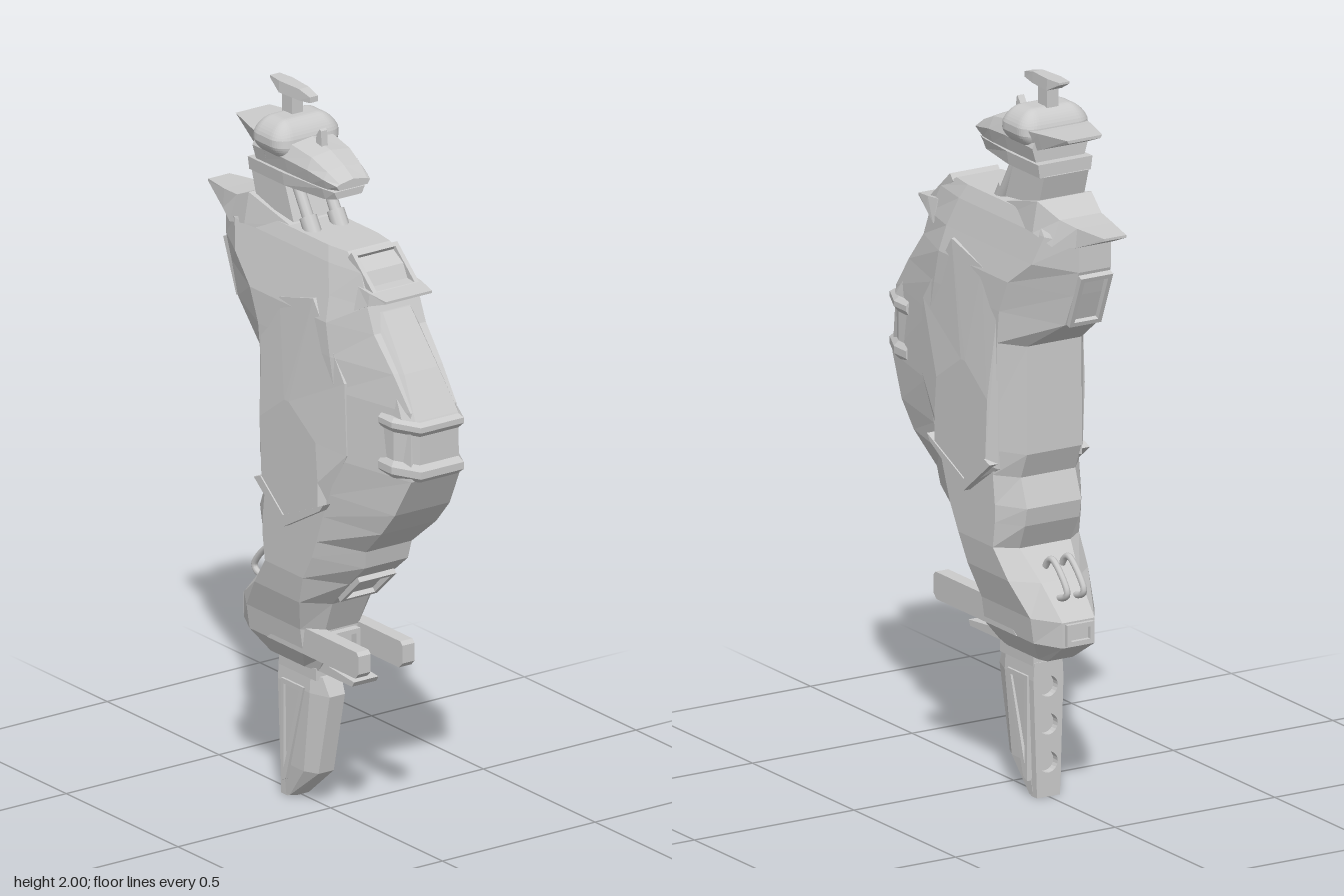
import * as THREE from 'three';
import { RoundedBoxGeometry } from 'three/addons/geometries/RoundedBoxGeometry.js';

const flat = new THREE.MeshStandardMaterial({ color: 0xcccccc, flatShading: true, side: THREE.DoubleSide });
const smooth = new THREE.MeshStandardMaterial({ color: 0xcccccc });

// Closed skin over a stack of equal-length rings, always wound outwards.
function loft(rings) {
  const n = rings[0].length, pos = rings.flat(2), tris = [];
  for (let r = 0; r < rings.length - 1; r++) {
    for (let i = 0; i < n; i++) {
      const a = r * n + i, b = r * n + (i + 1) % n;
      tris.push([a, b, b + n], [a, b + n, a + n]);
    }
  }
  [0, rings.length - 1].forEach((r, end) => {
    const c = pos.length / 3;
    for (let k = 0; k < 3; k++) pos.push(rings[r].reduce((s, p) => s + p[k], 0) / n);
    for (let i = 0; i < n; i++) {
      const a = r * n + i, b = r * n + (i + 1) % n;
      tris.push(end ? [a, b, c] : [b, a, c]);
    }
  });
  const v = (i) => new THREE.Vector3().fromArray(pos, i * 3);
  const volume = tris.reduce((s, [a, b, c]) => s + v(a).dot(v(b).cross(v(c))), 0);
  if (volume < 0) tris.forEach((t) => t.reverse());
  const g = new THREE.BufferGeometry();
  g.setAttribute('position', new THREE.Float32BufferAttribute(pos, 3));
  g.setIndex(tris.flat());
  g.computeVertexNormals();
  return g;
}

// Horizontal eight-sided section: front/back z, front/side/back half widths, z where the sides begin and end.
const section = ([y, zf, zb, fw, w, bw, sf, sb]) => [
  [fw, y, zf], [w, y, sf], [w, y, sb], [bw, y, zb], [-bw, y, zb], [-w, y, sb], [-w, y, sf], [-fw, y, zf]];
// Upright four-sided section: z, bottom and top y, bottom and top half widths.
const slice = ([z, y0, y1, w0, w1]) => [[w0, y0, z], [w1, y1, z], [-w1, y1, z], [-w0, y0, z]];

const toShape = (pts) => new THREE.Shape(pts.map((p) => new THREE.Vector2(...p)));

// Side profile in (z, y), extruded across x around a centre.
function prism(profile, width, x = 0, hole = null) {
  const s = toShape(profile);
  if (hole) s.holes.push(toShape(hole));
  const g = new THREE.ExtrudeGeometry(s, { depth: width, bevelEnabled: false });
  return g.translate(0, 0, -width / 2).rotateY(-Math.PI / 2).translate(x, 0, 0);
}

// Raised rectangular rim that leaves a sunken panel inside.
function frame(w, h, rim, depth) {
  const rect = (a, b) => [[-a, -b], [a, -b], [a, b], [-a, b]];
  const s = toShape(rect(w / 2, h / 2));
  s.holes.push(toShape(rect(w / 2 - rim, h / 2 - rim)));
  return new THREE.ExtrudeGeometry(s, { depth, bevelEnabled: false }).translate(0, 0, -depth / 2);
}

export function createModel() {
  const model = new THREE.Group();
  const add = (name, geometry, material = flat) => {
    const m = new THREE.Mesh(geometry, material);
    m.name = name;
    model.add(m);
    return m;
  };
  const rod = (name, a, b, r) => {
    const path = new THREE.LineCurve3(new THREE.Vector3(...a), new THREE.Vector3(...b));
    add(name, new THREE.TubeGeometry(path, 1, r, 10), smooth);
  };

  // Main hull from hips to shoulders
  add('body', loft([
    [0.40, 0.00, -0.23, 0.04, 0.05, 0.04, -0.05, -0.20],
    [0.46, 0.05, -0.32, 0.05, 0.09, 0.05, 0.00, -0.24],
    [0.53, 0.05, -0.32, 0.055, 0.10, 0.05, 0.00, -0.24],
    [0.62, 0.09, -0.23, 0.06, 0.125, 0.06, 0.03, -0.17],
    [0.70, 0.17, -0.155, 0.065, 0.135, 0.08, 0.06, -0.11],
    [0.77, 0.25, -0.19, 0.07, 0.135, 0.085, 0.10, -0.12],
    [0.82, 0.26, -0.20, 0.075, 0.135, 0.085, 0.12, -0.12],
    [0.90, 0.35, -0.17, 0.09, 0.135, 0.085, 0.15, -0.11],
    [0.97, 0.41, -0.20, 0.09, 0.135, 0.085, 0.18, -0.12],
    [1.08, 0.47, -0.20, 0.08, 0.135, 0.085, 0.22, -0.12],
    [1.27, 0.46, -0.20, 0.075, 0.135, 0.085, 0.20, -0.13],
    [1.36, 0.39, -0.34, 0.08, 0.135, 0.055, 0.18, -0.14],
    [1.45, 0.31, -0.375, 0.085, 0.133, 0.05, 0.16, -0.18],
    [1.52, 0.28, -0.40, 0.085, 0.115, 0.05, 0.15, -0.27],
    [1.60, 0.24, -0.40, 0.075, 0.095, 0.05, 0.12, -0.30],
    [1.64, 0.17, -0.34, 0.07, 0.08, 0.05, 0.10, -0.24],
  ].map(section)));

  // Raised collar and pointed tail on the upper back
  add('upperBackSpike', loft([
    [-0.08, 1.60, 1.64, 0.08, 0.075], [-0.25, 1.60, 1.685, 0.10, 0.085],
    [-0.33, 1.58, 1.65, 0.09, 0.065], [-0.40, 1.59, 1.643, 0.06, 0.055],
    [-0.50, 1.63, 1.637, 0.035, 0.035],
  ].map(slice)));

  // Sunken panels
  for (const [name, w, h, y, z, rx, ry] of [
    ['shoulderPanel', 0.15, 0.14, 1.59, 0.24, -0.85, 0],
    ['backVent', 0.10, 0.16, 1.435, -0.372, -0.38, Math.PI],
    ['lowerFrontPanel', 0.12, 0.12, 0.685, 0.16, 0.82, 0],
    ['hipFrontPanel', 0.09, 0.06, 0.495, 0.06, 0, 0],
    ['hipBackPanel', 0.085, 0.06, 0.495, -0.32, 0, Math.PI],
  ]) {
    const m = add(name, frame(w, h, 0.013, 0.024));
    m.position.set(0, y, z);
    m.rotation.set(rx, ry, 0);
  }

  // Chest plate with a small lip above it
  add('chestPlate', loft([
    [1.50, 0.295, 0.2, 0.045, 0.06, 0.06, 0.27, 0.21],
    [1.36, 0.405, 0.3, 0.055, 0.075, 0.075, 0.37, 0.31],
    [1.25, 0.475, 0.35, 0.07, 0.09, 0.09, 0.44, 0.36],
  ].map(section)));
  add('chestLip', loft([
    [0.24, 1.50, 1.565, 0.10, 0.085], [0.29, 1.525, 1.56, 0.09, 0.085], [0.35, 1.545, 1.552, 0.075, 0.075],
  ].map(slice)));

  // Belt buckle: recessed core between two flared lips
  const belt = (y, k) => section([y, 0.36 + 0.14 * k, 0.36, 0.07 * k, 0.108 * k, 0.108 * k, 0.36 + 0.06 * k, 0.365]);
  add('belt', loft([[1.08, 0.88], [1.095, 1], [1.115, 1], [1.13, 0.9], [1.21, 0.9], [1.225, 1], [1.24, 1], [1.25, 0.9]]
    .map(([y, k]) => belt(y, k))));

  for (const s of [1, -1]) {
    const side = s > 0 ? 'left' : 'right';
    const at = (x, pts) => pts.map(([z, y]) => [s * x, y, z]);

    // Large faceted side plate, thickest low down, with a V ledge
    const rim = [[-0.13, 1.38], [-0.13, 0.92], [0, 0.83], [0.17, 0.94], [0.25, 1.10], [0.24, 1.30], [0.10, 1.50], [-0.05, 1.46]];
    const face = [[-0.11, 1.11], [-0.10, 0.93], [0, 0.845], [0.15, 0.93], [0.15, 1.0], [0.14, 1.11], [0.02, 1.19], [0, 1.19]];
    add(side + 'SidePlate', loft([at(0.09, rim), at(0.131, rim), at(0.153, face)]));
    add(side + 'PlateLedge', prism(
      [[0.18, 0.945], [0.0, 0.865], [-0.10, 0.945], [-0.13, 0.935], [0, 0.832], [0.165, 0.925]], 0.03, s * 0.142));

    // Forward rail beside the hip
    add(side + 'Rail', prism(
      [[0.25, 0.525], [0.25, 0.475], [0.235, 0.46], [-0.16, 0.46], [-0.10, 0.505], [-0.08, 0.535], [0.24, 0.535]], 0.04, s * 0.072));

    // Neck strut, handle on the lower back, groove on the leg
    rod(side + 'NeckStrut', [s * 0.045, 1.62, -0.01], [s * 0.045, 1.77, -0.10], 0.016);
    rod(side + 'StrutFoot', [s * 0.045, 1.62, -0.01], [s * 0.045, 1.67, -0.04], 0.024);
    const loop = [[0.64, -0.19], [0.675, -0.215], [0.68, -0.235], [0.61, -0.305], [0.595, -0.30], [0.58, -0.26]]
      .map(([y, z]) => new THREE.Vector3(s * 0.026, y, z));
    add(side + 'Handle', new THREE.TubeGeometry(new THREE.CatmullRomCurve3(loop), 24, 0.009, 8), smooth);
    add(side + 'LegPanel', prism([[-0.05, 0.34], [-0.15, 0.34], [-0.15, 0.05], [-0.13, 0.06]], 0.012, s * 0.047,
      [[-0.068, 0.326], [-0.138, 0.326], [-0.138, 0.09]]));
  }

  // Plate under the hips
  add('lowerPlate', prism([[0.15, 0.40], [0.16, 0.415], [0.05, 0.425], [0, 0.47], [-0.2, 0.47], [-0.2, 0.40]], 0.08));

  // Blade leg, with three round holes in its back face
  add('leg', loft([
    [0.008, -0.125, -0.15, 0.02, 0.036, 0.036, -0.135, -0.14],
    [0.10, -0.02, -0.15, 0.025, 0.044, 0.044, -0.06, -0.14],
    [0.33, 0.03, -0.15, 0.025, 0.047, 0.047, -0.03, -0.14],
    [0.38, 0.005, -0.15, 0.03, 0.044, 0.044, -0.03, -0.14],
  ].map(section)));
  const back = toShape([[-0.036, 0.005], [0.036, 0.005], [0.047, 0.33], [0.044, 0.38], [-0.044, 0.38], [-0.047, 0.33]]);
  for (const y of [0.10, 0.205, 0.31]) back.holes.push(new THREE.Path().absarc(0, y, 0.029, 0, Math.PI * 2, true));
  add('legBack', new THREE.ExtrudeGeometry(back, { depth: 0.03, bevelEnabled: false, curveSegments: 10 }).translate(0, 0, -0.172));
  add('legCollar', new THREE.BoxGeometry(0.09, 0.035, 0.165).translate(0, 0.388, -0.087));

  // Neck block and head
  add('neck', prism([[-0.11, 1.75], [-0.26, 1.75], [-0.235, 1.67], [-0.07, 1.65]], 0.14));
  add('jaw', loft([
    [0.085, 1.755, 1.775, 0.04, 0.05], [0.05, 1.748, 1.78, 0.055, 0.065],
    [-0.10, 1.748, 1.785, 0.08, 0.085], [-0.255, 1.748, 1.785, 0.08, 0.085],
  ].map(slice)));
  const snout = ([z, y0, y1, w]) => [[w * 0.85, y0, z], [w, (y0 + y1) / 2, z], [w * 0.8, y1 - 0.008, z], [0, y1, z],
    [-w * 0.8, y1 - 0.008, z], [-w, (y0 + y1) / 2, z], [-w * 0.85, y0, z]];
  add('snout', loft([[0.102, 1.785, 1.81, 0.055], [0.06, 1.78, 1.835, 0.068], [0, 1.78, 1.86, 0.078],
    [-0.09, 1.78, 1.875, 0.086], [-0.23, 1.78, 1.87, 0.088]].map(snout)));

  // Helmet dome: a rounded box narrowed towards its top and bottom
  const dome = new RoundedBoxGeometry(0.21, 0.11, 0.15, 5, 0.045);
  const p = dome.attributes.position;
  for (let i = 0; i < p.count; i++) {
    const y = p.getY(i), k = 1 - Math.abs(y) * 3;
    p.setX(i, p.getX(i) * k / 0.95);
    p.setZ(i, p.getZ(i) * (1 - Math.max(0, y) * 4));
  }
  dome.computeVertexNormals();
  add('helmet', dome.translate(0, 1.865, -0.155), smooth);
  add('headBackFin', loft([
    [-0.18, 1.80, 1.87, 0.08, 0.10], [-0.25, 1.825, 1.872, 0.07, 0.085], [-0.35, 1.864, 1.872, 0.05, 0.055],
  ].map(slice)));

  // Crest on a short stem, and the small horn
  add('crestStem', new THREE.BoxGeometry(0.036, 0.08, 0.045).translate(0, 1.94, -0.17));
  add('crest', loft([
    [-0.075, 1.972, 1.988, 0.013, 0.013], [-0.12, 1.968, 1.999, 0.018, 0.016],
    [-0.20, 1.968, 2.0, 0.024, 0.022], [-0.25, 1.994, 2.0, 0.016, 0.016],
  ].map(slice)));
  add('horn', prism([[-0.025, 1.85], [-0.055, 1.85], [-0.05, 1.89], [-0.035, 1.91], [-0.03, 1.905]], 0.02));

  return model;
}
